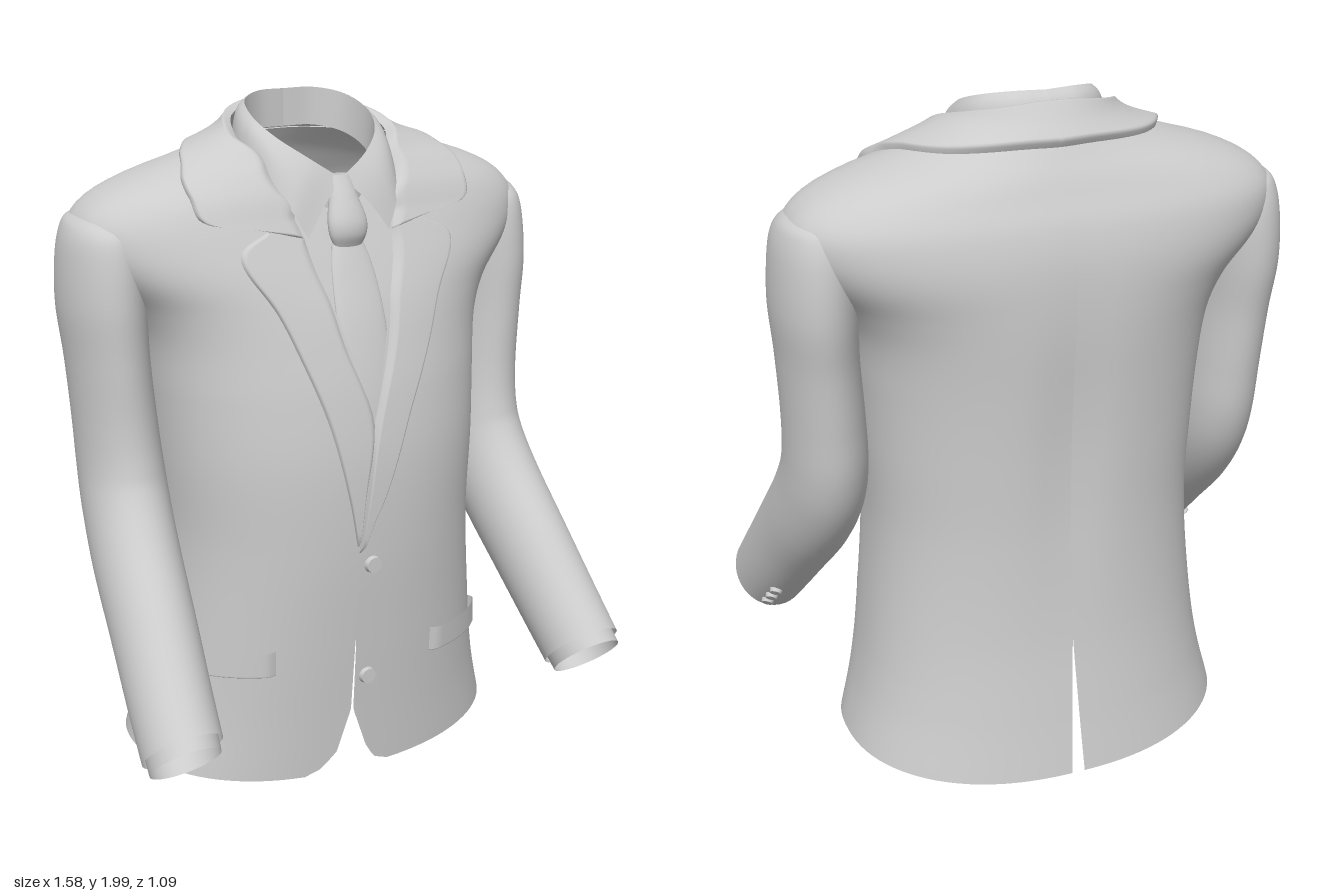
import * as THREE from 'three';
import { mergeVertices } from 'three/addons/utils/BufferGeometryUtils.js';

const mat = new THREE.MeshStandardMaterial({ color: 0xcccccc, side: THREE.DoubleSide });
const { clamp, lerp, degToRad } = THREE.MathUtils;

// Smooth interpolation of table rows [key, ...values]
function smooth(table, key) {
  const n = table.length, k = clamp(key, table[0][0], table[n - 1][0]);
  let i = 0;
  while (i < n - 2 && k > table[i + 1][0]) i++;
  const h = table[i + 1][0] - table[i][0], f = (k - table[i][0]) / h;
  const slope = (j, c) => {
    const a = table[Math.max(j - 1, 0)], b = table[Math.min(j + 1, n - 1)];
    return (b[c] - a[c]) / (b[0] - a[0]);
  };
  return table[i].slice(1).map((p, c) => {
    const q = table[i + 1][c + 1], f2 = f * f, f3 = f2 * f;
    return p * (2 * f3 - 3 * f2 + 1) + q * (3 * f2 - 2 * f3)
      + h * (slope(i, c + 1) * (f3 - 2 * f2 + f) + slope(i + 1, c + 1) * (f3 - f2));
  });
}
function linear(table, key) {
  let i = 0;
  while (i < table.length - 2 && key > table[i + 1][0]) i++;
  const [a, b] = [table[i], table[i + 1]];
  return lerp(a[1], b[1], clamp((key - a[0]) / (b[0] - a[0]), 0, 1));
}

// Surface mesh from fn(u, v); side -1 mirrors it across x = 0
function sheet(name, fn, nu, nv, side = 1) {
  const pos = [], idx = [];
  for (let j = 0; j <= nv; j++) for (let i = 0; i <= nu; i++) {
    const [x, y, z] = fn(i / nu, j / nv);
    pos.push(x * side, y, z);
    if (i === nu || j === nv) continue;
    const a = j * (nu + 1) + i, b = a + 1, c = a + nu + 1, d = c + 1;
    idx.push(...(side > 0 ? [a, b, d, a, d, c] : [a, d, b, a, c, d]));
  }
  let g = new THREE.BufferGeometry();
  g.setAttribute('position', new THREE.Float32BufferAttribute(pos, 3));
  g.setIndex(idx);
  g = mergeVertices(g, 1e-5);
  g.computeVertexNormals();
  const m = new THREE.Mesh(g, mat);
  m.name = name;
  return m;
}

// Jacket cross-sections: y, half width, front z, back z, side z, roundness
const BODY = [
  [0, .595, .26, -.55, -.12, 2.3], [.2, .55, .275, -.52, -.11, 2.3], [.45, .515, .295, -.49, -.1, 2.3],
  [.75, .49, .315, -.475, -.1, 2.3], [1, .5, .315, -.475, -.1, 2.3], [1.2, .512, .29, -.48, -.11, 2.3],
  [1.35, .53, .255, -.485, -.125, 2.35], [1.45, .575, .225, -.485, -.14, 2.4], [1.55, .66, .185, -.48, -.15, 2.5],
  [1.62, .7, .155, -.47, -.155, 2.5], [1.69, .7, .125, -.45, -.16, 2.5], [1.75, .645, .1, -.42, -.16, 2.4],
  [1.8, .54, .07, -.395, -.155, 2.2], [1.84, .41, .045, -.37, -.15, 2], [1.88, .29, .03, -.345, -.14, 2],
  [1.92, .23, .02, -.315, -.13, 2], [1.98, .2, 0, -.275, -.13, 2]];
const pow = (v, e) => Math.sign(v) * Math.abs(v) ** e;

// Point on the jacket at angle t (front = 90 degrees, back = -90) and height y
function onBody(t, y, off = 0) {
  const [hw, zf, zb, zc, n] = smooth(BODY, y);
  const x = (hw + off) * pow(Math.cos(t), 2 / n), s = pow(Math.sin(t), 2 / n);
  let z = zc + s * (s > 0 ? zf + off - zc : zc - zb + off);
  if (s < 0) z += .02 * Math.exp(-((x / .09) ** 2) - ((y - 1.05) / .4) ** 2); // hollow of the spine
  return [x, y + off * clamp((y - 1.7) / .15, 0, 1), z];
}
function angleAt(x, y) {
  const [hw, , , , n] = smooth(BODY, y);
  return Math.acos(pow(clamp(x / hw, -1, 1), n / 2));
}

// Front edge of each half: overlap, rounded hem corner, V opening and neckline
const OPENING = [[1.13, 0], [1.64, .14], [1.75, .175]];
const EDGE = {
  1: [[.01, .08], [.03, .03], [.08, 0], [.22, -.05], [.74, -.055], ...OPENING],
  [-1]: [[.01, .2], [.03, .15], [.08, .1], [.22, .058], [.74, .05], ...OPENING] };
const NECK = [[1.75, 78.5], [1.85, 58], [1.9, 20], [1.94, -20], [1.97, -70], [1.98, -85]];
const edgeAngle = (y, side) => y < 1.75 ? angleAt(linear(EDGE[side], y), y) : degToRad(linear(NECK, y));

function bodyHalf(side) {
  return sheet('jacketBody', (u, v) => {
    const y = lerp(.01, 1.975, v);
    const t = lerp(edgeAngle(y, side), -angleAt(.02 * clamp(1 - y / .45, 0, 1), y), u);
    const p = onBody(t, y);
    p[1] += .035 * Math.cos(t) ** 2 * clamp(1 - y / .3, 0, 1);
    return p;
  }, 48, 110, side);
}

// Raised cloth lying on the jacket, rows: inner angle, inner y, outer angle, outer y
function cloth(name, rows, off, side, nv = 40) {
  const table = rows.map((r, i) => [i, ...r]);
  return sheet(name, (u, v) => {
    const [t0, y0, t1, y1] = smooth(table, v * (rows.length - 1));
    const lift = Math.sqrt(Math.min(1, u / .08, (1 - u) / .08, v / .03));
    return onBody(lerp(t0, t1, u), lerp(y0, y1, u), off * lift - .002);
  }, 24, nv, side);
}
const byX = rows => rows.map(([x0, y0, x1, y1]) => [angleAt(x0, y0), y0, angleAt(x1, y1), y1]);
const LAPEL_TOP = [[.07, 1.35, .215, 1.35], [.105, 1.5, .285, 1.5], [.132, 1.6, .335, 1.61], [.14, 1.64, .25, 1.665]];
const LAPEL = {
  1: [[-.056, .74, -.05, .74], [-.03, .92, .02, .9], [0, 1.13, .11, 1.13], ...LAPEL_TOP],
  [-1]: [[.056, .76, .06, .76], [.035, .92, .09, .92], [0, 1.13, .14, 1.13], ...LAPEL_TOP] };
const COLLAR = [[1.64, 0, 1.69], [1.69, 58, 1.7], [1.75, 48, 1.765], [1.85, 28, 1.82],
  [1.9, 0, 1.85], [1.94, -40, 1.86], [1.97, -70, 1.87], [1.975, -90, 1.87]]
  .map(([y0, deg, y1], i, all) => [i === all.length - 1 ? -Math.PI / 2 : edgeAngle(y0, 1), y0,
    i ? degToRad(deg) : angleAt(.31, 1.69), y1]);

// Sleeve sections: step, centre x, y, z, radius across, radius front to back
const SLEEVE = [
  [.62, 1.72, -.16, .008, .008], [.63, 1.7, -.16, .07, .12], [.63, 1.66, -.16, .1, .165], [.632, 1.58, -.155, .114, .185],
  [.635, 1.45, -.15, .117, .19], [.628, 1.3, -.14, .112, .178], [.617, 1.12, -.13, .114, .17], [.612, .98, -.112, .118, .17],
  [.615, .87, -.07, .122, .165], [.627, .74, .025, .124, .157], [.645, .58, .18, .121, .147], [.662, .44, .315, .118, .138],
  [.675, .325, .43, .115, .131], [.678, .3, .455, .114, .13]].map((r, i) => [i, ...r]);
function onSleeve(a, k, grow = 0) {
  const [x, y, z, rx, rp] = smooth(SLEEVE, k);
  const p = smooth(SLEEVE, k - .1), q = smooth(SLEEVE, k + .1);
  const ty = q[1] - p[1], tz = q[2] - p[2], l = Math.hypot(ty, tz);
  const c = (rx + grow) * Math.cos(a), s = (rp + grow) * Math.sin(a);
  return [x + c, y + s * tz / l, z - s * ty / l];
}

function button(p, dir, r) {
  const m = new THREE.Mesh(new THREE.CylinderGeometry(r * .85, r, .016, 20), mat);
  m.position.set(...p);
  m.quaternion.setFromUnitVectors(new THREE.Vector3(0, 1, 0), dir.normalize());
  m.name = 'button';
  return m;
}

// Shirt collar half: points of the top edge and of the folded lower edge
const curve = pts => new THREE.CatmullRomCurve3(pts.map(p => new THREE.Vector3(...p)));
const shirtTop = curve([[0, 1.79, .1], [.09, 1.85, .075], [.16, 1.905, .01], [.185, 1.95, -.08],
  [.16, 1.985, -.18], [.09, 2, -.235], [0, 2, -.25]]);
const shirtFold = curve([[.13, 1.64, .15], [.17, 1.72, .12], [.207, 1.8, .045], [.225, 1.87, -.08],
  [.19, 1.91, -.2], [.1, 1.93, -.275], [0, 1.93, -.29]]);

// Closed loft for the tie, rows: y, half width, z, half depth
const tiePart = (name, rows) => sheet(name, (u, v) => {
  const y = lerp(rows[rows.length - 1][0], rows[0][0], 1 - v);
  const [w, z, d] = smooth([...rows].reverse(), y), a = u * Math.PI * 2;
  return [w * Math.cos(a), y, z + d * Math.sin(a)];
}, 28, 30);

export function createModel() {
  const model = new THREE.Group();
  model.name = 'suitJacket';

  for (const side of [1, -1]) {
    model.add(bodyHalf(side));
    model.add(cloth('lapel', byX(LAPEL[side]), side > 0 ? .02 : .013, side));
    model.add(cloth('jacketCollar', COLLAR, .018, side, 60));

    // Pocket flap
    const [x0, x1, top, low] = side > 0 ? [.22, .47, .425, .345] : [.29, .5, .455, .375];
    model.add(cloth('pocketFlap', byX([[x0, low, x1, low - .01], [x0, (top + low) / 2, x1, (top + low) / 2 - .01],
      [x0, top, x1, top - .015]]), .018, side));

    // Sleeve, shirt cuff and cuff buttons
    model.add(sheet('sleeve', (u, v) => onSleeve(u * Math.PI * 2, v * 12), 40, 90, side));
    model.add(sheet('shirtCuff', (u, v) => onSleeve(u * Math.PI * 2, 11.4 + v * 1.6, -.012), 40, 8, side));
    for (const k of [10.9, 11.25, 11.6]) {
      const a = degToRad(-65), p = onSleeve(a, k, .003), q = onSleeve(a, k, .02);
      const dir = new THREE.Vector3((q[0] - p[0]) * side, q[1] - p[1], q[2] - p[2]);
      model.add(button([p[0] * side, p[1], p[2]], dir, .021));
    }

    // Shirt collar: folded leaf and inner stand
    model.add(sheet('shirtCollar', (u, v) => {
      const p = shirtTop.getPoint(v).lerp(shirtFold.getPoint(v), u);
      const puff = .012 * Math.sin(Math.PI * u);
      return [p.x * (1 + puff * 2), p.y + puff, p.z + puff * (p.z > -.08 ? .5 : -.5)];
    }, 10, 48, side));
    model.add(sheet('shirtCollarStand', (u, v) => {
      const p = shirtTop.getPoint(v);
      return [p.x * (.95 + .05 * u), p.y - .11 * (1 - u), p.z];
    }, 6, 48, side));
  }

  // Shirt front inside the V opening
  model.add(sheet('shirtFront', (u, v) => {
    const y = lerp(.85, 1.74, v);
    return onBody(angleAt(lerp(-.25, .25, u), y), y, -.03);
  }, 24, 30));

  // Tie
  const frontZ = y => smooth(BODY, y)[1];
  model.add(tiePart('tieKnot', [[1.8, .034, .085, .018], [1.74, .045, .112, .028], [1.68, .06, .135, .032],
    [1.64, .058, .142, .028], [1.605, .042, .142, .014]]));
  model.add(tiePart('tieBlade', [[1.64, .042], [1.55, .066], [1.4, .078], [1.2, .075], [1, .06]]
    .map(([y, w]) => [y, w, frontZ(y) - .02, .015])));

  // Front buttons
  for (const y of [.7, .33]) {
    const p = onBody(angleAt(-.01, y), y, .006);
    model.add(button(p, new THREE.Vector3(0, 0, 1), .027));
  }
  return model;
}
